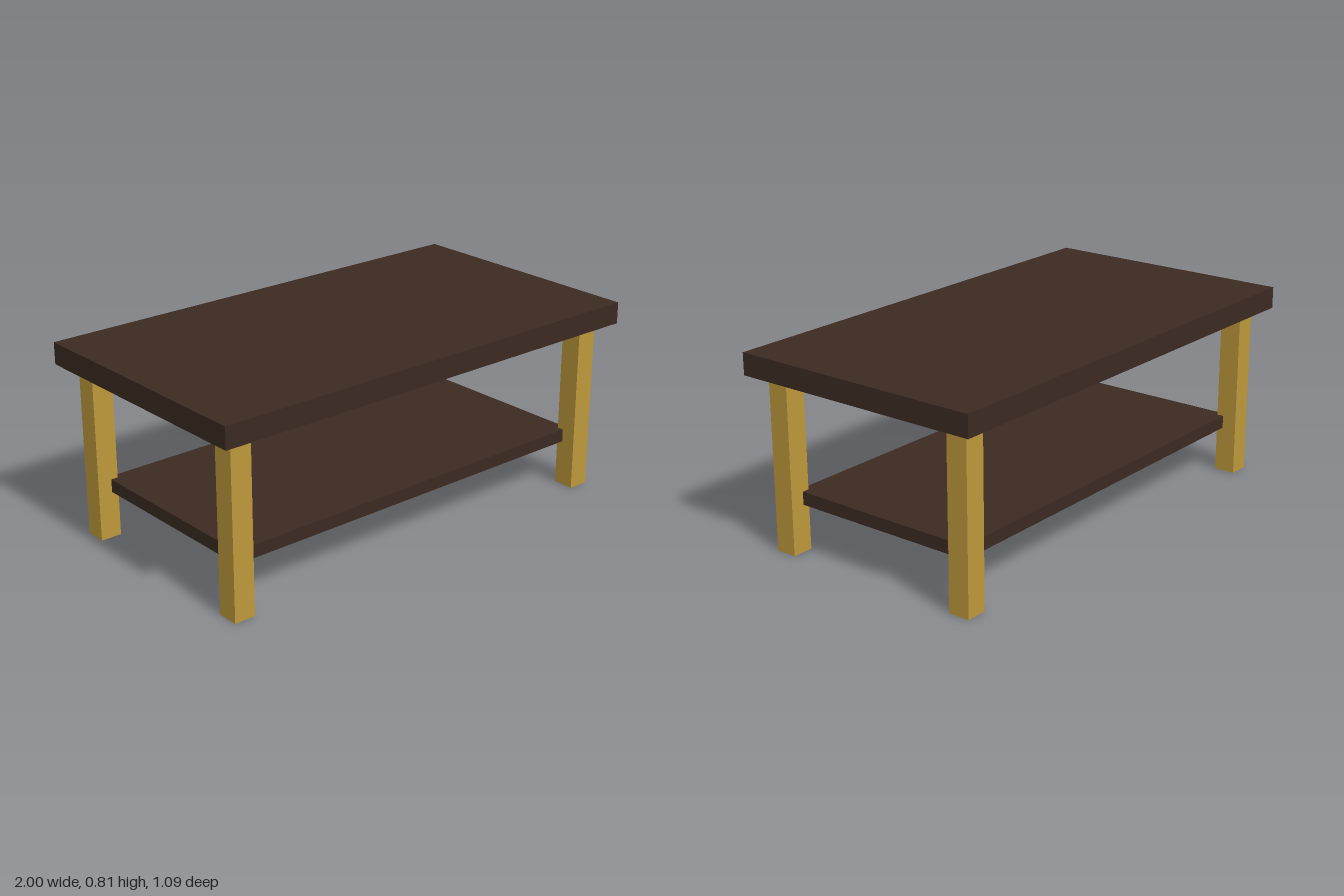
import * as THREE from 'three';

export function createModel() {
  const table = new THREE.Group();
  table.name = 'coffeeTable';

  const darkWood = new THREE.MeshStandardMaterial({ color: 0x3b2a22 });
  darkWood.name = 'dark wood';
  const brass = new THREE.MeshStandardMaterial({ color: 0xbd983b });
  brass.name = 'brass';

  // Box given by its size, the height of its underside and its x/z centre
  const addBox = (name, material, [w, h, d], bottom, x = 0, z = 0) => {
    const mesh = new THREE.Mesh(new THREE.BoxGeometry(w, h, d), material);
    mesh.name = name;
    mesh.position.set(x, bottom + h / 2, z);
    table.add(mesh);
  };

  // Thick top and the thinner shelf, whose corners are let into the legs
  addBox('tableTop', darkWood, [2, 0.09, 1.09], 0.72);
  addBox('lowerShelf', darkWood, [1.75, 0.054, 0.84], 0.195);

  // Four square legs
  for (const [sx, side] of [[1, 'Left'], [-1, 'Right']]) {
    for (const [sz, end] of [[1, 'front'], [-1, 'back']]) {
      addBox(`${end}${side}Leg`, brass, [0.09, 0.72, 0.09], 0, sx * 0.89, sz * 0.437);
    }
  }

  return table;
}
